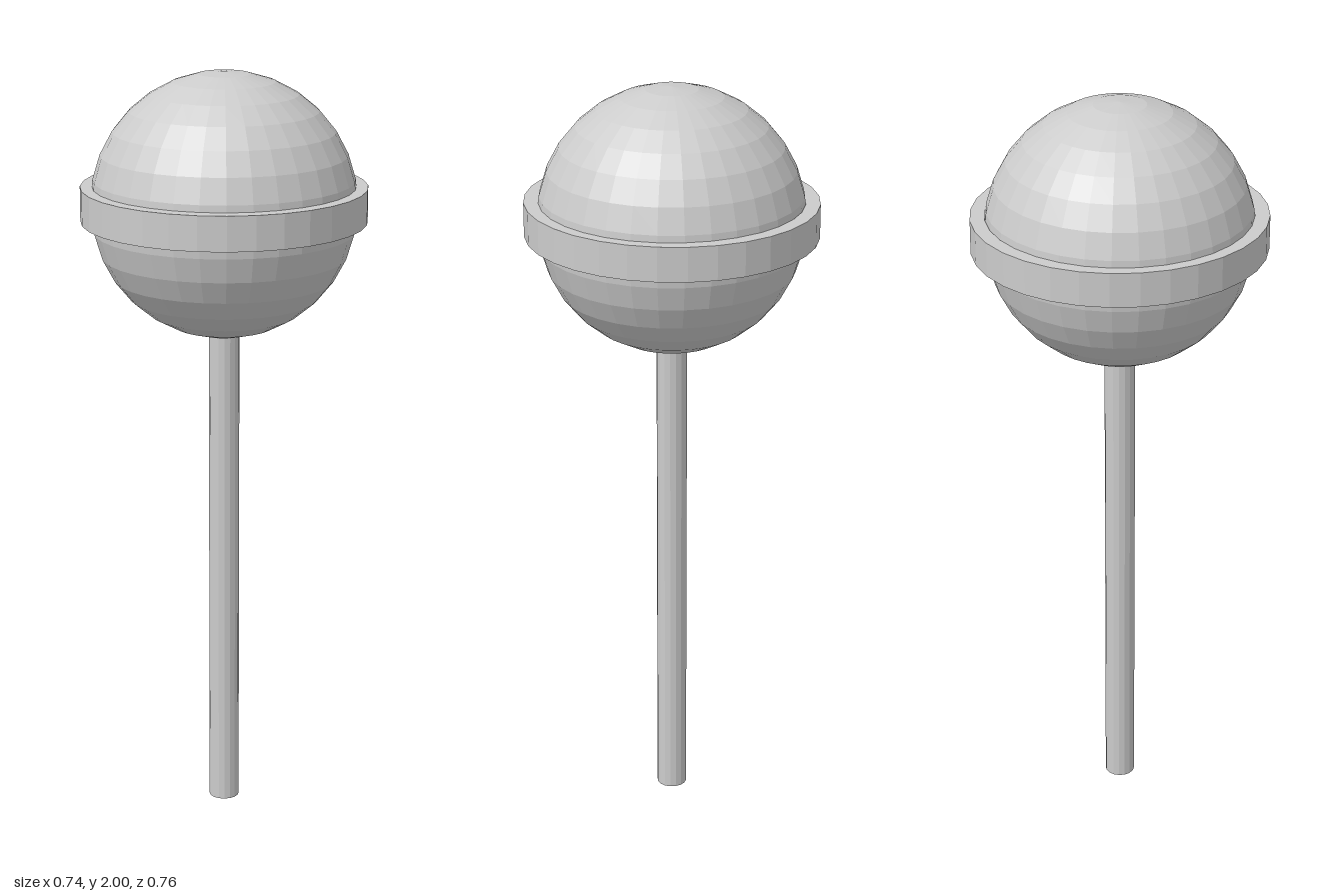
import * as THREE from 'three';

export function createModel() {
  const model = new THREE.Group();
  const material = new THREE.MeshStandardMaterial({ color: 0xcccccc, flatShading: true });

  const add = (name, geometry, y) => {
    const mesh = new THREE.Mesh(geometry, material);
    mesh.name = name;
    mesh.position.y = y;
    model.add(mesh);
    return mesh;
  };

  // Round candy head
  const radius = 0.345;
  add('candyBall', new THREE.SphereGeometry(radius, 32, 16), 2 - radius);

  // Flat raised band around the middle, slightly deeper than wide
  const inner = 0.334, outer = 0.371, half = 0.045;
  const section = [
    [inner, -half], [outer, -half], [outer, half], [inner, half], [inner, -half],
  ].map(([x, y]) => new THREE.Vector2(x, y));
  const band = add('candyBand', new THREE.LatheGeometry(section, 32), 1.66);
  band.scale.z = 0.38 / outer;

  // Stick, its top end sunk into the ball
  const length = 1.36;
  add('stick', new THREE.CylinderGeometry(0.04, 0.04, length, 16), length / 2);

  return model;
}
